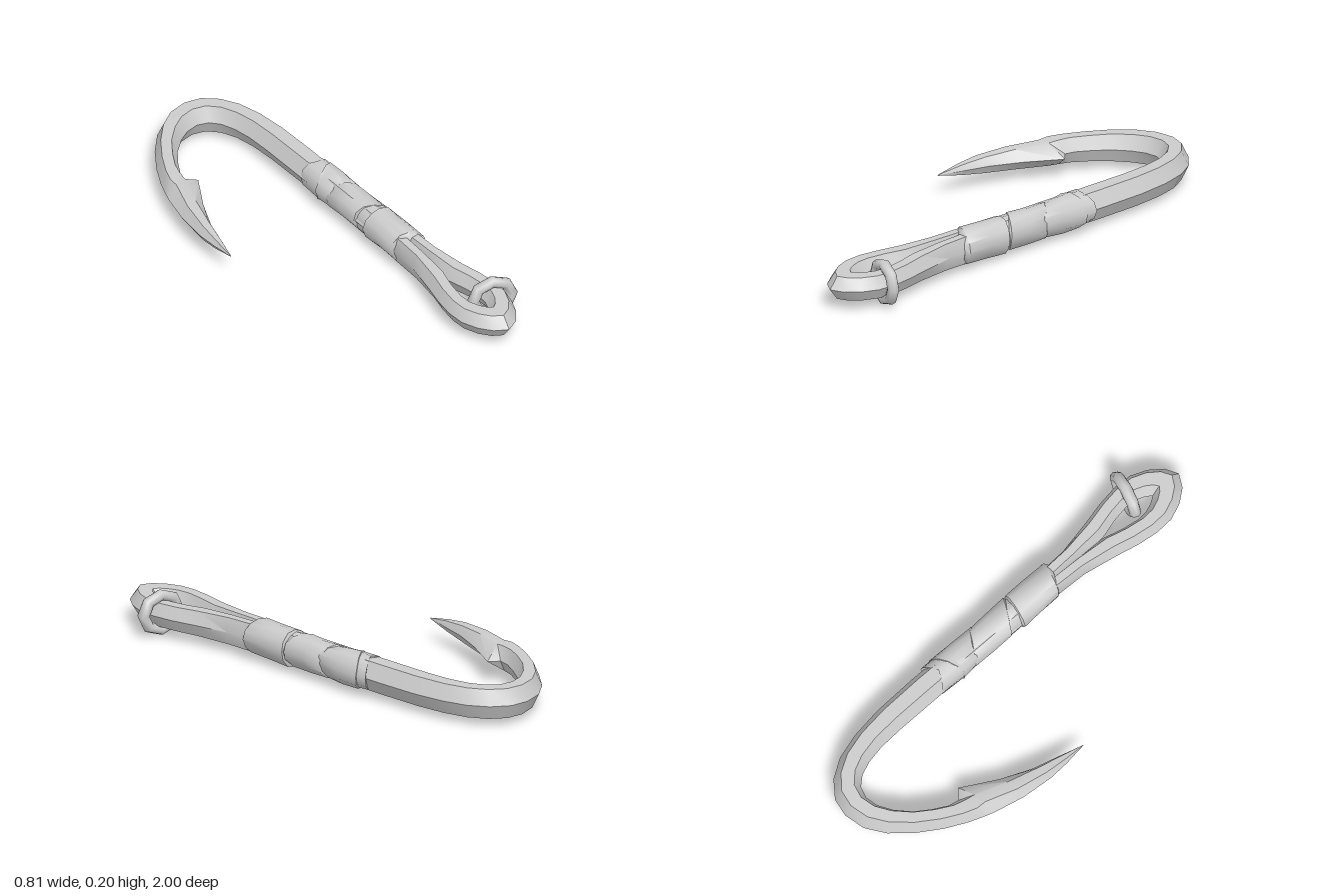
import * as THREE from 'three';
import { toCreasedNormals } from 'three/addons/utils/BufferGeometryUtils.js';

const MID = 0.097;      // height of the hook's middle plane
const SHANK_X = 0.22;   // centre line of the shank
const material = new THREE.MeshStandardMaterial({ color: 0xcccccc });

// Capped skin through rings of points
function loft(name, rings, crease) {
  const n = rings[0].length, pos = [];
  const tri = (...pts) => pts.forEach(p => pos.push(p.x, p.y, p.z));
  for (let r = 0; r < rings.length - 1; r++) {
    for (let i = 0; i < n; i++) {
      const j = (i + 1) % n, a = rings[r], b = rings[r + 1];
      tri(a[i], a[j], b[j]);
      tri(a[i], b[j], b[i]);
    }
  }
  const cap = (ring, flip) => {
    const c = new THREE.Vector3();
    ring.forEach(p => c.addScaledVector(p, 1 / n));
    for (let i = 0; i < n; i++) {
      const j = (i + 1) % n;
      if (flip) tri(c, ring[j], ring[i]); else tri(c, ring[i], ring[j]);
    }
  };
  cap(rings[0], true);
  cap(rings[rings.length - 1], false);
  const geometry = new THREE.BufferGeometry();
  geometry.setAttribute('position', new THREE.Float32BufferAttribute(pos, 3));
  const mesh = new THREE.Mesh(toCreasedNormals(geometry, crease), material);
  mesh.name = name;
  return mesh;
}

// Six-sided section between an outer and an inner edge point
function hexRing([ox, oz, ix, iz, h, inner = 0.74]) {
  const at = (f, y) => new THREE.Vector3(ox + (ix - ox) * f, MID + y, oz + (iz - oz) * f);
  return [at(0, 0), at(0.26, h), at(inner, h), at(1, 0), at(inner, -h), at(0.26, -h)];
}

// Wrapped sleeve: rows of [z, radius, slant, notch]
function sleeve(name, rows, phase) {
  const sides = 12;
  const rings = rows.map(([z, r, slant, notch = 0], k) =>
    Array.from({ length: sides }, (_, i) => {
      const a = (i / sides) * Math.PI * 2, c = Math.cos(a);
      const rr = r * (1 + 0.05 * Math.sin(3 * a + phase + k * 1.3));
      return new THREE.Vector3(SHANK_X + 0.005 + rr * 0.93 * c, MID + rr * Math.sin(a),
        z + slant * c + notch * Math.abs(c));
    }));
  return loft(name, rings, 0.9);
}

export function createModel() {
  const group = new THREE.Group();

  // Point, barb, bend and shank: outer x, z, inner x, z, half height, inner shoulder
  const hook = [
    [-0.392, -0.08, -0.390, -0.08, 0.002],
    [-0.404, -0.18, -0.358, -0.19, 0.022],
    [-0.408, -0.27, -0.328, -0.30, 0.035],
    [-0.395, -0.41, -0.272, -0.43, 0.044, 0.65],
    [-0.365, -0.54, -0.187, -0.58, 0.050, 0.55],
    [-0.350, -0.585, -0.228, -0.615, 0.053],
    [-0.325, -0.65, -0.218, -0.66, 0.055],
    [-0.280, -0.74, -0.185, -0.72, 0.057],
    [-0.215, -0.84, -0.140, -0.785, 0.060],
    [-0.140, -0.925, -0.080, -0.84, 0.062],
    [-0.060, -0.98, -0.025, -0.873, 0.063],
    [0.030, -1.0, 0.030, -0.885, 0.064],
    [0.110, -0.985, 0.080, -0.87, 0.064],
    [0.180, -0.93, 0.115, -0.83, 0.064],
    [0.230, -0.85, 0.138, -0.77, 0.064],
    [0.262, -0.74, 0.152, -0.69, 0.064],
    [0.280, -0.60, 0.157, -0.58, 0.064],
    [0.286, -0.40, 0.158, -0.40, 0.064],
    [0.280, 0.28, 0.160, 0.28, 0.062],
  ];
  group.add(loft('hook', hook.map(hexRing), 0.7));

  // Teardrop eye: one strand, mirrored about the shank
  const strand = [
    [0.060, 0.28, -0.010, 0.28, 0.060],
    [0.066, 0.42, -0.004, 0.44, 0.058],
    [0.095, 0.57, 0.001, 0.58, 0.054],
    [0.118, 0.67, 0.024, 0.665, 0.052],
    [0.130, 0.76, 0.036, 0.74, 0.051],
    [0.126, 0.84, 0.033, 0.785, 0.050],
    [0.098, 0.91, 0.020, 0.82, 0.050],
    [0.055, 0.965, 0.008, 0.84, 0.050],
  ];
  const shift = (s) => ([ox, oz, ix, iz, h]) => [SHANK_X + s * ox, oz, SHANK_X + s * ix, iz, h];
  const eye = [
    ...strand.map(shift(1)),
    [SHANK_X, 0.995, SHANK_X, 0.85, 0.050],
    ...strand.slice().reverse().map(shift(-1)),
  ];
  group.add(loft('eye', eye.map(hexRing), 0.7));

  // Overlapping cloth binding around the shank
  group.add(
    sleeve('upperBinding', [
      [-0.31, 0.060, 0, -0.03], [-0.315, 0.073, 0, -0.035], [-0.24, 0.075, -0.02],
      [-0.15, 0.070, -0.02], [-0.08, 0.064, -0.03],
    ], 0.4),
    sleeve('crossBinding', [
      [-0.265, 0.060, -0.035], [-0.265, 0.079, -0.035], [-0.21, 0.077, 0.03],
      [-0.12, 0.070, 0.04], [-0.11, 0.058, 0.04],
    ], 1.7),
    sleeve('middleBinding', [
      [-0.14, 0.060, 0.04], [-0.13, 0.073, 0.04], [-0.04, 0.074, 0.04],
      [0.06, 0.076, 0.04], [0.07, 0.058, 0.04],
    ], 2.6),
    sleeve('innerBinding', [
      [0.02, 0.058, 0.04], [0.06, 0.070, 0.03], [0.14, 0.068, 0.01], [0.16, 0.058, 0.01],
    ], 0.9),
    sleeve('lowerBinding', [
      [0.09, 0.060, 0.01], [0.10, 0.080, 0.01], [0.19, 0.078, 0.015],
      [0.30, 0.078, 0.02], [0.315, 0.060, 0.02],
    ], 3.5),
  );

  // Small ring threaded through the eye
  const ring = new THREE.Mesh(new THREE.TorusGeometry(0.075, 0.023, 8, 8), material);
  ring.name = 'ring';
  ring.position.set(0.298, MID, 0.773);
  ring.rotation.y = -0.25;
  ring.scale.set(1.12, 1, 1.1);
  group.add(ring);

  return group;
}
